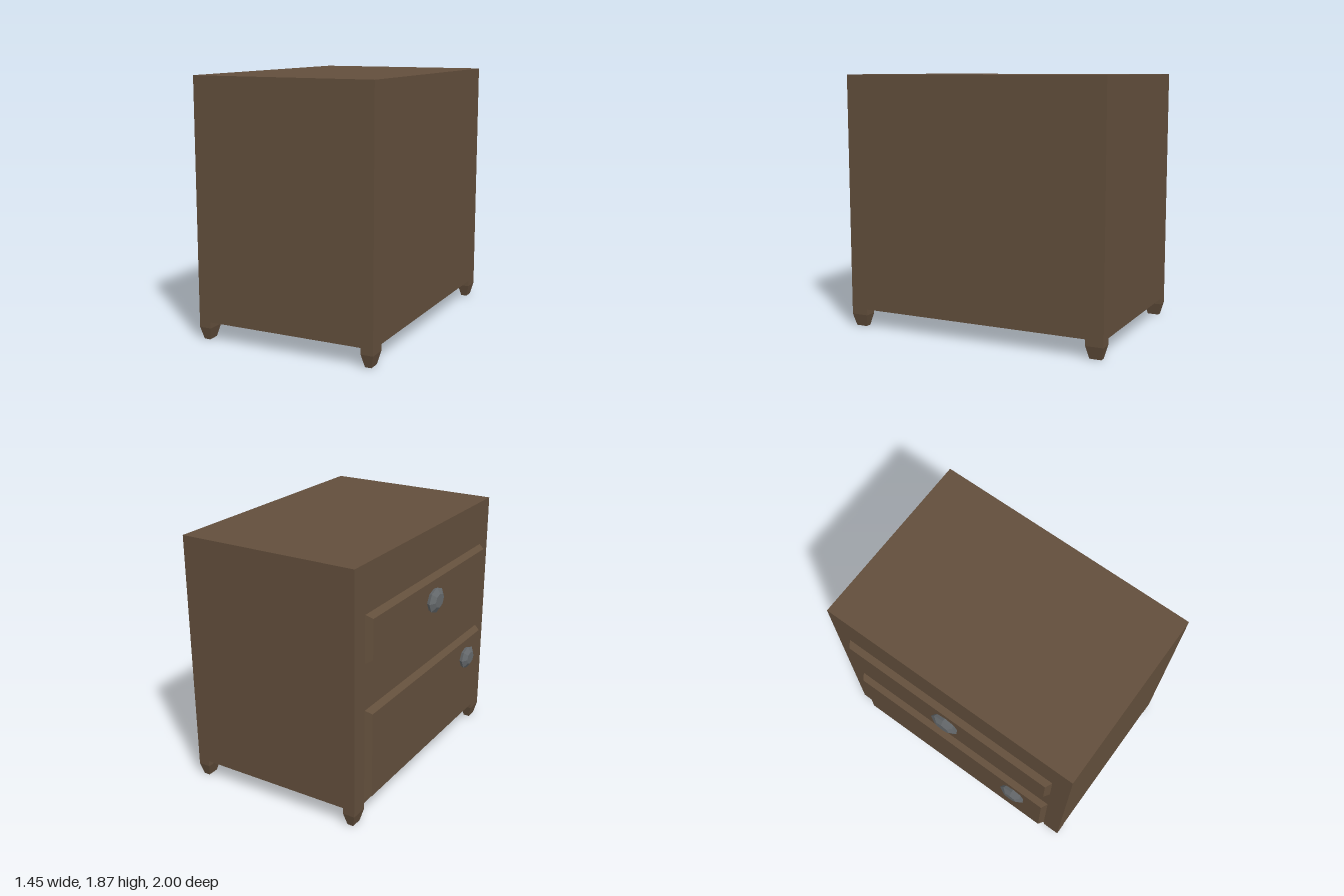
import * as THREE from 'three';

const wood = new THREE.MeshStandardMaterial({ color: 0x634f3c, flatShading: true });
const metal = new THREE.MeshStandardMaterial({ color: 0x666a6d, flatShading: true });

const BODY = { x0: -0.633, x1: 0.725, y0: 0.135, y1: 1.87, z: 1 };

function part(name, geometry, material, x, y, z) {
  const mesh = new THREE.Mesh(geometry, material);
  mesh.name = name;
  mesh.position.set(x, y, z);
  return mesh;
}

// Box whose face on the negative side of one axis is inset on the other two
function taperedBox(w, h, d, axis, inset) {
  const geometry = new THREE.BoxGeometry(w, h, d);
  const p = geometry.attributes.position;
  for (let i = 0; i < p.count; i++) {
    if (p.getComponent(i, axis) > 0) continue;
    for (let k = 0; k < 3; k++) {
      const v = p.getComponent(i, k);
      if (k !== axis) p.setComponent(i, k, v - Math.sign(v) * inset);
    }
  }
  geometry.computeVertexNormals();
  return geometry;
}

// Faceted, slightly flattened knob pointing along -x
function knob(name, y, z, radius) {
  const profile = [[0, 0], [0.88, 0], [1, 0.025], [0.55, 0.05], [0, 0.05]]
    .map(([r, h]) => new THREE.Vector2(r * radius, h));
  const geometry = new THREE.LatheGeometry(profile, 8).rotateZ(Math.PI / 2).scale(1, 0.84, 1);
  return part(name, geometry, metal, -0.679, y, z);
}

export function createModel() {
  const model = new THREE.Group();
  model.name = 'nightstand';

  // Cabinet
  const { x0, x1, y0, y1, z } = BODY;
  model.add(part('cabinet', new THREE.BoxGeometry(x1 - x0, y1 - y0, 2 * z), wood,
    (x0 + x1) / 2, (y0 + y1) / 2, 0));

  // Legs: a straight block flush with each corner, then a tapering foot
  const legW = 0.09, legD = 0.13, footH = 0.09;
  for (const sx of [-1, 1]) {
    for (const sz of [-1, 1]) {
      const leg = new THREE.Group();
      leg.name = 'leg';
      leg.position.set(sx < 0 ? x0 + legW / 2 : x1 - legW / 2, 0, sz * (z - legD / 2));
      leg.add(part('legBlock', new THREE.BoxGeometry(legW, y0 - footH, legD), wood,
        0, (y0 + footH) / 2, 0));
      leg.add(part('foot', taperedBox(legW, footH, legD, 1, 0.022), wood, 0, footH / 2, 0));
      model.add(leg);
    }
  }

  // Drawer and door panels with bevelled edges
  for (const [name, low, high] of [['upperDrawer', 1.19, 1.53], ['lowerDoor', 0.165, 0.85]]) {
    model.add(part(name, taperedBox(0.046, high - low, 1.734, 0, 0.026), wood,
      x0 - 0.023, (low + high) / 2, -0.003));
  }

  // Knobs
  model.add(knob('upperKnob', 1.36, -0.002, 0.112));
  model.add(knob('lowerKnob', 0.688, 0.588, 0.104));

  return model;
}
